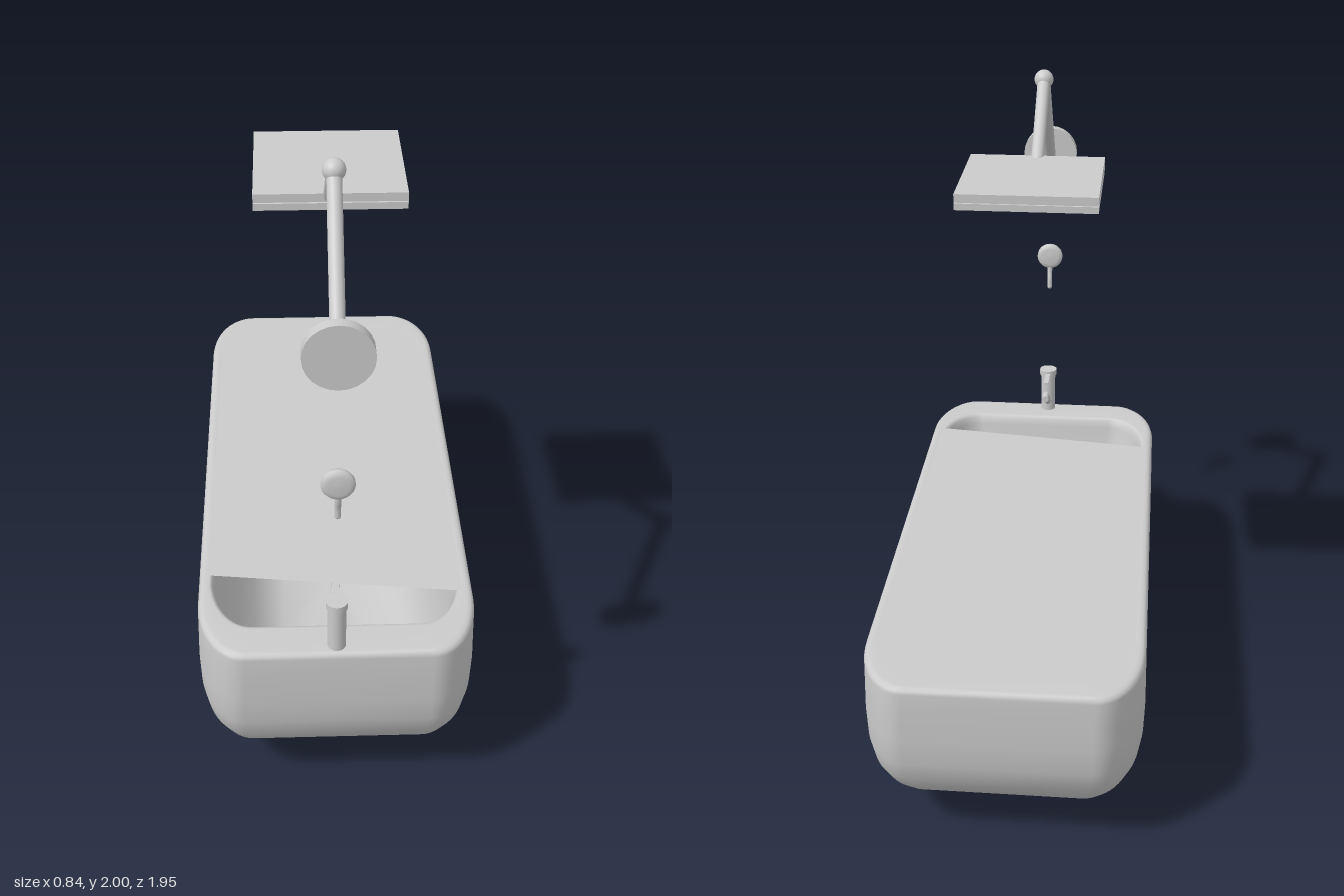
import * as THREE from 'three';

const X = -0.01; // shared centre line of the fittings
const mat = new THREE.MeshStandardMaterial({ color: 0xcccccc, side: THREE.DoubleSide });
const V = (x, y, z) => new THREE.Vector3(x, y, z);

// rounded rectangle with elliptical corners, half sizes w and l, as [x, z] pairs
function outline(w, l, cornerX = 0.34, cornerZ = 0.26, n = 14) {
  const pts = [];
  const rx = w * cornerX, rz = l * cornerZ;
  for (const [sx, sz, start] of [[1, 1, 0], [-1, 1, 1], [-1, -1, 2], [1, -1, 3]]) {
    for (let i = 0; i <= n; i++) {
      const a = (start + i / n) * Math.PI / 2;
      pts.push([sx * (w - rx) + rx * Math.cos(a), sz * (l - rz) + rz * Math.sin(a)]);
    }
  }
  return pts;
}

// skin a stack of closed rings of equal point count
function loft(rings) {
  const n = rings[0].length, pos = [], idx = [];
  rings.forEach(r => r.forEach(p => pos.push(p.x, p.y, p.z)));
  for (let r = 0; r < rings.length - 1; r++) {
    for (let i = 0; i < n; i++) {
      const a = r * n + i, b = r * n + (i + 1) % n;
      idx.push(a, a + n, b, b, a + n, b + n);
    }
  }
  const g = new THREE.BufferGeometry();
  g.setAttribute('position', new THREE.Float32BufferAttribute(pos, 3));
  g.setIndex(idx);
  g.computeVertexNormals();
  return g;
}

function rod(a, b, r0, r1 = r0) {
  const d = b.clone().sub(a);
  const g = new THREE.CylinderGeometry(r1, r0, d.length(), 24);
  g.applyQuaternion(new THREE.Quaternion().setFromUnitVectors(V(0, 1, 0), d.normalize()));
  const c = a.clone().add(b).multiplyScalar(0.5);
  return g.translate(c.x, c.y, c.z);
}

export function createModel() {
  const model = new THREE.Group();
  const add = (name, geometry, parent = model) => {
    const m = new THREE.Mesh(geometry, mat);
    m.name = name;
    parent.add(m);
    return m;
  };
  const group = name => {
    const g = new THREE.Group();
    g.name = name;
    model.add(g);
    return g;
  };

  // tub: outer shell, rolled rim and inner basin; rows of [y, half width, half length]
  const tub = group('bathtub');
  tub.position.set(-0.005, 0, -0.005);
  const rows = [
    [0.003, 0.002, 0.004], [0.003, 0.15, 0.36], [0.005, 0.18, 0.42], [0.025, 0.235, 0.55],
    [0.06, 0.29, 0.67], [0.1, 0.33, 0.765], [0.15, 0.365, 0.845], [0.2, 0.388, 0.895],
    [0.26, 0.407, 0.935], [0.33, 0.417, 0.957], [0.42, 0.42, 0.965], [0.52, 0.418, 0.966],
    [0.585, 0.417, 0.966], [0.596, 0.414, 0.963], [0.602, 0.407, 0.956], [0.604, 0.398, 0.945],
    [0.604, 0.385, 0.85], [0.602, 0.38, 0.84], [0.594, 0.375, 0.834], [0.57, 0.37, 0.825],
    [0.4, 0.35, 0.8], [0.25, 0.31, 0.74], [0.15, 0.25, 0.62], [0.1, 0.16, 0.45], [0.1, 0.002, 0.004],
  ];
  add('tubShell', loft(rows.map(([y, w, l]) => outline(w, l).map(([x, z]) => V(x, y, z)))), tub);

  // flat cover, cut off at a slant to leave the basin open at one end
  const cut = x => 0.653 + 0.123 * x;
  const cover = new THREE.Shape(outline(0.386, 0.852).map(([x, z]) =>
    new THREE.Vector2(x, -Math.min(z, cut(x)))));
  add('tubCover', new THREE.ShapeGeometry(cover).rotateX(-Math.PI / 2).translate(0, 0.6045, 0), tub);

  // tap on the rim
  const tap = group('tap');
  add('tapBody', rod(V(X, 0.6, 0.918), V(X, 0.748, 0.918), 0.027), tap);
  add('tapCap', rod(V(X, 0.748, 0.918), V(X, 0.77, 0.918), 0.032), tap);
  add('tapLever', new THREE.BoxGeometry(0.018, 0.009, 0.12).translate(X, 0.757, 0.86), tap);
  add('tapSpout', rod(V(X, 0.635, 0.905), V(X, 0.71, 0.805), 0.012), tap);
  add('spoutElbow', new THREE.SphereGeometry(0.012, 16, 12).translate(X, 0.71, 0.805), tap);
  add('spoutTip', rod(V(X, 0.71, 0.805), V(X, 0.71, 0.762), 0.012), tap);

  // wall valve: softly domed knob with a hanging lever
  const valve = group('valve');
  const knob = [[0, -0.016], [0.03, -0.015], [0.043, -0.011], [0.047, -0.004],
    [0.047, 0.004], [0.043, 0.011], [0.03, 0.015], [0, 0.016]].map(p => new THREE.Vector2(...p));
  add('valveKnob', new THREE.LatheGeometry(knob, 40).rotateX(Math.PI / 2).translate(X, 1.218, 0.964), valve);
  const handle = new THREE.CatmullRomCurve3([V(X, 1.2, 0.962), V(X, 1.16, 0.96), V(X, 1.13, 0.953), V(X, 1.1, 0.95)]);
  add('valveLever', new THREE.TubeGeometry(handle, 16, 0.009, 14), valve);
  add('leverEnd', new THREE.SphereGeometry(0.009, 14, 10).translate(X, 1.1, 0.95), valve);

  // shower: wall plate, two-part arm with a ball joint, square head
  const shower = group('shower');
  const wall = V(X, 1.605, 0.935), joint = V(X, 1.97, 0.615), end = V(X, 1.765, 0.345);
  add('wallPlate', rod(V(X, 1.62, 0.978), V(X, 1.62, 0.942), 0.096).clone(), shower);
  add('lowerArm', rod(wall, joint, 0.021), shower);
  add('armJoint', new THREE.SphereGeometry(0.032, 28, 20).translate(joint.x, joint.y, joint.z), shower);
  add('upperArm', rod(joint, end, 0.021), shower);
  add('armEnd', new THREE.SphereGeometry(0.021, 20, 14).translate(end.x, end.y, end.z), shower);
  add('headTop', new THREE.BoxGeometry(0.44, 0.026, 0.44).translate(X, 1.766, 0.14), shower);
  add('headCore', new THREE.BoxGeometry(0.425, 0.03, 0.425).translate(X, 1.752, 0.14), shower);
  add('headBottom', new THREE.BoxGeometry(0.44, 0.021, 0.44).translate(X, 1.739, 0.14), shower);

  return model;
}
